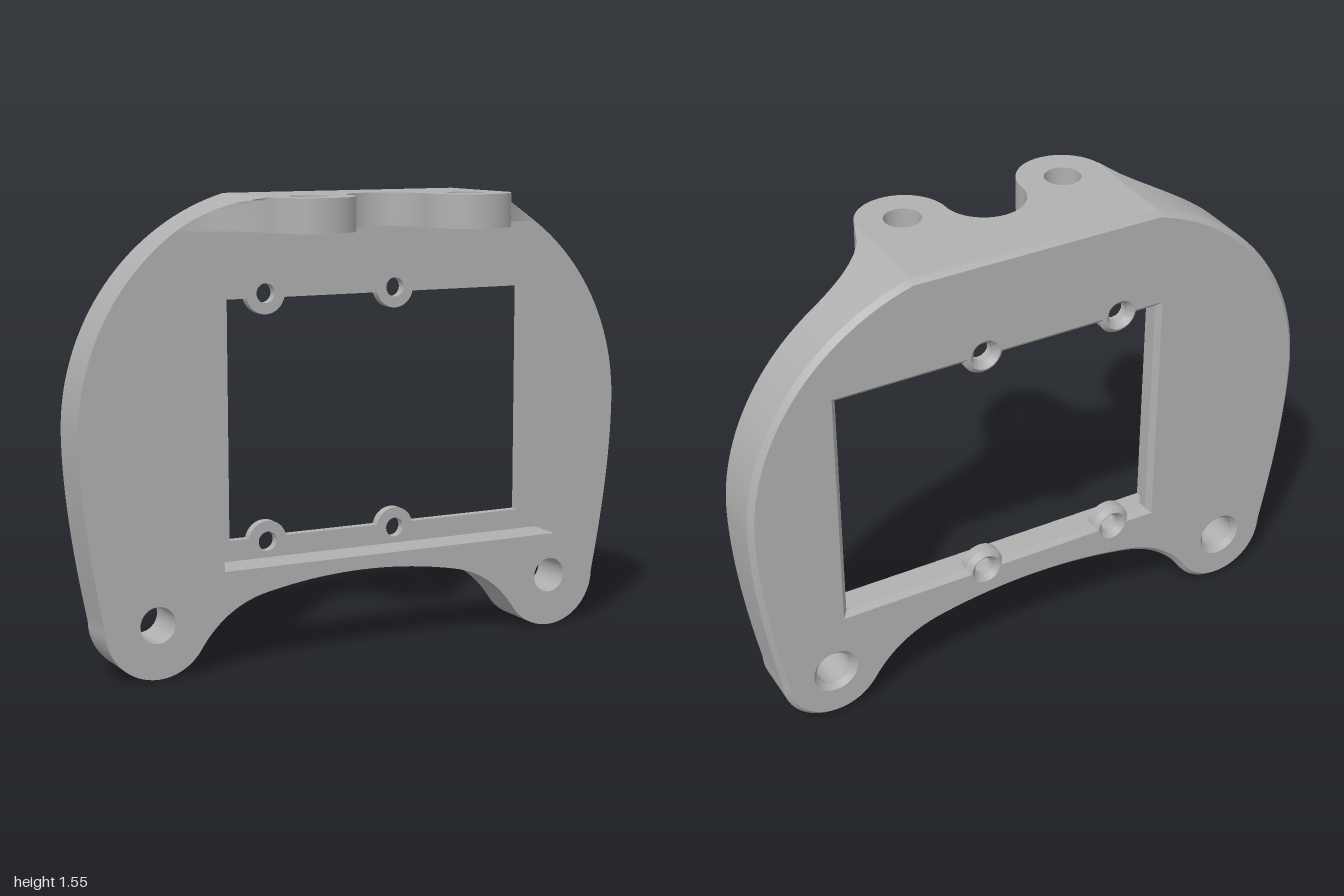
import * as THREE from 'three';
import { toCreasedNormals } from 'three/addons/utils/BufferGeometryUtils.js';

const V = (x, y) => new THREE.Vector2(x, y);
const FRONT = -0.075, FLOOR = -0.205, BACK = -0.255, C = 0.017; // depth levels and chamfer

// Points on an arc from angle a to angle b
function arc(cx, cy, r, a, b, n) {
  return Array.from({ length: n + 1 }, (_, i) => {
    const t = a + (b - a) * i / n;
    return V(cx + r * Math.cos(t), cy + r * Math.sin(t));
  });
}
const quad = (a, b, c, n) => new THREE.QuadraticBezierCurve(V(...a), V(...b), V(...c)).getPoints(n);
const tidy = pts => pts.filter((p, i) => p.distanceTo(pts[(i + 1) % pts.length]) > 1e-4);
// Clockwise loop for a round hole
const round = (x, y, r) => arc(x, y, r, 0, -2 * Math.PI, 48).slice(0, -1);

// Moves a loop to its left, into the solid
function inset(loop, d) {
  const n = loop.length;
  return loop.map((p, i) => {
    const e = p.clone().sub(loop[(i + n - 1) % n]).normalize();
    const f = loop[(i + 1) % n].clone().sub(p).normalize();
    const s = V(-e.y - f.y, e.x + f.x);
    return s.multiplyScalar(d / (1 + e.dot(f))).add(p);
  });
}

// Collects walls between loops and flat caps
class Solid {
  constructor() { this.pos = []; }
  wall(a, za, b, zb) {
    for (let i = 0; i < a.length; i++) {
      const j = (i + 1) % a.length;
      const q = [[a[i], za], [b[i], zb], [b[j], zb], [a[i], za], [b[j], zb], [a[j], za]];
      q.forEach(([p, z]) => this.pos.push(p.x, p.y, z));
    }
  }
  cap(outer, holes, z, flip = false) {
    const all = [outer, ...holes].flat();
    for (const f of THREE.ShapeUtils.triangulateShape(outer.slice(), holes.map(h => h.slice()))) {
      (flip ? [f[0], f[2], f[1]] : f).forEach(k => this.pos.push(all[k].x, all[k].y, z));
    }
  }
  // Straight wall with a chamfer at the back; returns the back loop
  chamfered(loop, z) {
    const back = inset(loop, C);
    this.wall(loop, z, loop, BACK + C);
    this.wall(loop, BACK + C, back, BACK);
    return back;
  }
  geometry() {
    const g = new THREE.BufferGeometry();
    g.setAttribute('position', new THREE.Float32BufferAttribute(this.pos, 3));
    return toCreasedNormals(g, 0.22);
  }
}

const sideX = y => 0.222 + Math.sqrt(0.778 ** 2 - (y - 0.8) ** 2);

// Outer contour of the plate, counter-clockwise
function plateOutline() {
  const foot = -145 * Math.PI / 180;
  const right = [
    ...quad([0, 0.283], [0.18, 0.283], [0.36, 0.245], 14),
    ...quad([0.36, 0.245], [0.51, 0.213], [0.5976, 0.0768], 14),
    ...arc(0.745, 0.18, 0.18, foot, 0, 28),
    ...quad([0.925, 0.18], [1, 0.55], [1, 0.8], 16),
    ...arc(0.222, 0.8, 0.778, 0, Math.acos((sideX(1.55) - 0.222) / 0.778), 32),
  ];
  const left = right.slice(1).reverse().map(p => V(-p.x, p.y));
  return tidy([...right, ...left]);
}

// Window with half-round screw bosses, clockwise
const screwX = [-0.295, 0.19], screwY = [0.385, 1.22];
function windowLoop() {
  const s = Math.asin(0.015 / 0.07), P = Math.PI;
  return tidy([
    V(-0.435, 0.4),
    ...screwX.flatMap(x => arc(x, screwY[0], 0.07, P - s, s, 20)),
    V(0.69, 0.4), V(0.69, 1.205),
    ...[...screwX].reverse().flatMap(x => arc(x, screwY[1], 0.07, -s, s - P, 20)),
    V(-0.435, 1.205),
  ]).reverse();
}

// Bracket contour seen from above at height y, trimmed to the plate's side curve
function bracketOutline(y) {
  const P = Math.PI, join = Math.atan2(0.075, 0.395), X = sideX(y);
  const end = Math.min(P - join, Math.acos(Math.max(-1, (X - 0.68) / 0.25)));
  const right = [
    ...arc(0, -0.1, 0.135, P / 2, 0, 16),
    ...arc(0.285, -0.1, 0.15, P, 2 * P - join, 32).slice(1),
    ...arc(0.68, -0.175, 0.25, P - join, end, 16).slice(1),
    V(X, -FRONT),
  ];
  const left = right.slice(1).reverse().map(p => V(-p.x, p.y));
  return [...left, ...right];
}

export function createModel() {
  const group = new THREE.Group();
  const grey = new THREE.MeshStandardMaterial({ color: 0xb0b0b0 });
  grey.name = 'plain grey';
  const add = (name, geometry) => {
    const mesh = new THREE.Mesh(geometry, grey);
    mesh.name = name;
    group.add(mesh);
  };

  // Plate with feet, front pocket, window and chamfered back
  const plate = new Solid();
  const outline = plateOutline();
  const pocket = [V(-0.51, 0.33), V(-0.51, 1.275), V(0.765, 1.275), V(0.765, 0.33)];
  const opening = windowLoop();
  const feet = [-1, 1].map(s => round(s * 0.745, 0.18, 0.061));
  const screws = screwX.flatMap(x => screwY.map(y => round(x, y, 0.033)));
  plate.cap(outline, [pocket, ...feet], FRONT);
  plate.wall(pocket, FRONT, pocket, FLOOR);
  plate.cap(pocket.slice().reverse(), [opening, ...screws], FLOOR);
  const backOutline = plate.chamfered(outline, FRONT);
  const backHoles = [
    ...feet.map(h => plate.chamfered(h, FRONT)),
    ...[opening, ...screws].map(h => plate.chamfered(h, FLOOR)),
  ];
  plate.cap(backOutline, backHoles, BACK, true);
  add('framePlate', plate.geometry());

  // Two-lobed mounting bracket, lofted downward from the top edge
  const bracket = new Solid();
  const top = 1.55, bottom = 1.44, steps = 10;
  const holes = [-1, 1].map(s => round(s * 0.285, -0.1, 0.06));
  const level = i => top + (bottom - top) * i / steps;
  for (let i = 0; i < steps; i++) {
    bracket.wall(bracketOutline(level(i)), level(i), bracketOutline(level(i + 1)), level(i + 1));
  }
  holes.forEach(h => bracket.wall(h, top, h, bottom));
  bracket.cap(bracketOutline(top), holes, top);
  bracket.cap(bracketOutline(bottom), holes, bottom, true);
  add('mountingBracket', bracket.geometry().rotateX(-Math.PI / 2));

  return group;
}
